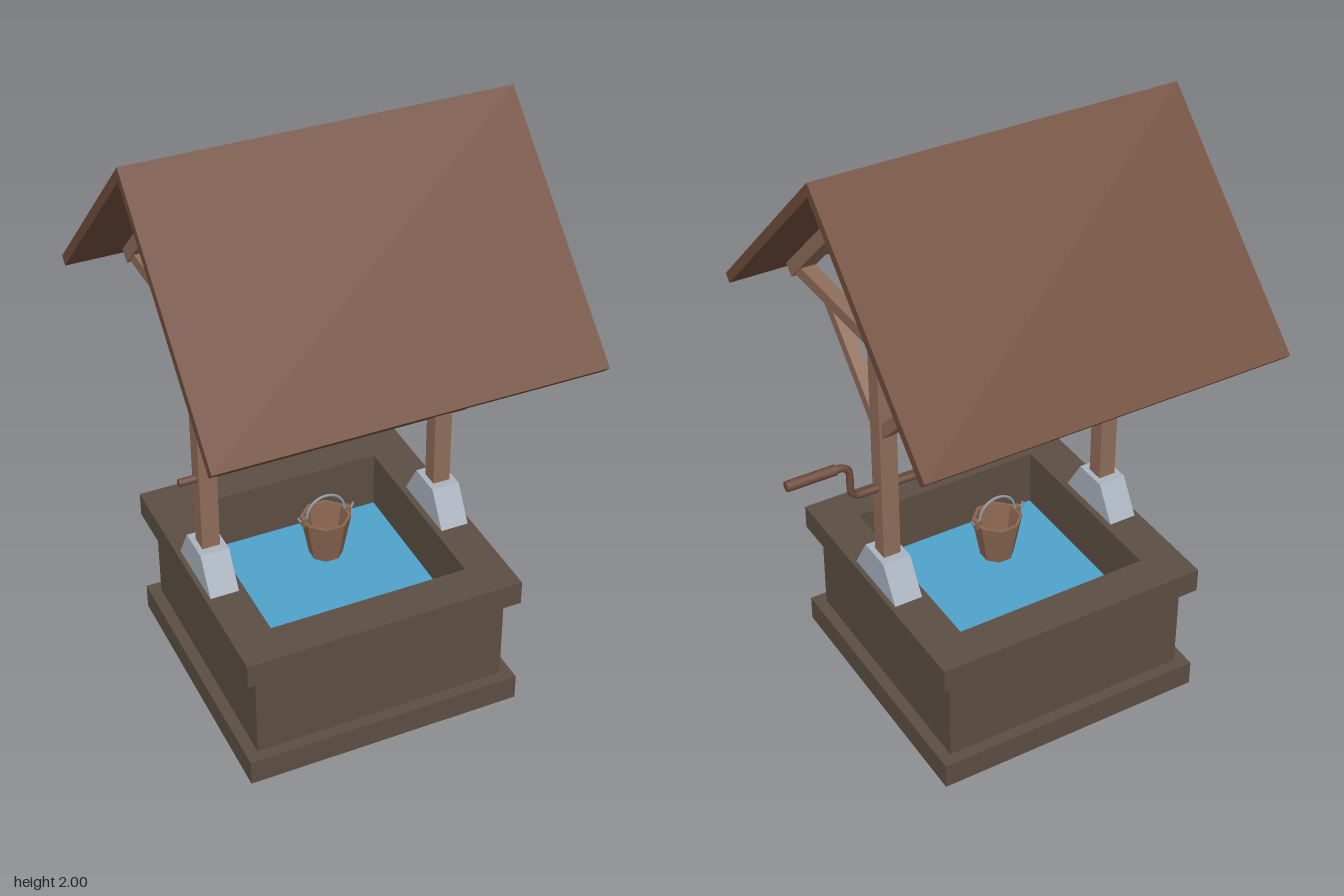
import * as THREE from 'three';

const mat = (name, color, side = THREE.FrontSide) => {
  const m = new THREE.MeshStandardMaterial({ color, side });
  m.name = name;
  return m;
};

export function createModel() {
  const root = new THREE.Group();
  root.name = 'waterWell';
  const wall = mat('dark stone', 0x5c4e43);
  const shingle = mat('roof brown', 0x704d3b);
  const timber = mat('timber', 0x8f6d5a);
  const bucketWood = mat('bucket wood', 0x8a6650, THREE.DoubleSide);
  const crankWood = mat('crank wood', 0x6f4c3c);
  const stone = mat('pale stone', 0xaab3bf);
  const metal = mat('metal', 0x9099a3);
  const waterBlue = mat('water blue', 0x4fa3cc);
  const CX = -0.065; // the well sits off centre because of the crank

  const add = (name, geo, material, parent = root) => {
    const m = new THREE.Mesh(geo, material);
    m.name = name;
    parent.add(m);
    return m;
  };
  const box = (w, h, d, x, y, z) => new THREE.BoxGeometry(w, h, d).translate(x, y, z);

  // Prism with a [z, y] outline, running along x and centred on cx
  const prism = (pts, cx, width) => {
    const s = new THREE.Shape(pts.map(([z, y]) => new THREE.Vector2(-z, y)));
    return new THREE.ExtrudeGeometry(s, { depth: width, bevelEnabled: false })
      .rotateY(Math.PI / 2).translate(cx - width / 2, 0, 0);
  };

  // Square ring with a square shaft through it
  const ring = (half, y0, y1, hole = 0.34) => {
    const square = (P, h) => {
      const p = new P();
      p.moveTo(-h, -h); p.lineTo(h, -h); p.lineTo(h, h); p.lineTo(-h, h); p.closePath();
      return p;
    };
    const s = square(THREE.Shape, half);
    s.holes.push(square(THREE.Path, hole));
    return new THREE.ExtrudeGeometry(s, { depth: y1 - y0, bevelEnabled: false })
      .rotateX(-Math.PI / 2).translate(CX, y0, 0);
  };

  // Well basin
  add('basePlinth', box(0.95, 0.09, 0.95, CX, 0.045, 0), wall);
  add('basinWall', ring(0.435, 0.09, 0.41), wall);
  add('basinRim', ring(0.475, 0.41, 0.495), wall);
  add('water', new THREE.PlaneGeometry(0.68, 0.68).rotateX(-Math.PI / 2).translate(CX, 0.29, 0), waterBlue);

  // Roof: two slopes meeting at the ridge
  add('roof', prism([[0, 2], [0.64, 1.378], [0.616, 1.354], [0, 1.954],
    [-0.616, 1.354], [-0.64, 1.378]], CX, 1.24), shingle);

  // Two identical end frames
  for (const side of [-1, 1]) {
    const x = CX + side * 0.41;
    const frame = new THREE.Group();
    frame.name = side > 0 ? 'leftFrame' : 'rightFrame';
    root.add(frame);
    add('foot', prism([[-0.133, 0.495], [0.133, 0.495], [0.06, 0.615], [-0.06, 0.615]], x, 0.097), stone);
    add('post', box(0.06, 1.27, 0.06, x, 1.225, 0), timber, frame);
    add('postCap', prism([[-0.022, 1.83], [0.022, 1.83], [0.038, 1.845], [0.038, 1.88],
      [0, 1.915], [-0.038, 1.88], [-0.038, 1.845]], x, 0.075), timber, frame);
    add('crossBeam', box(0.05, 0.042, 1.1, x, 1.4, 0), timber, frame);
    for (const s of [-1, 1]) {
      add('rafter', prism([[0, 1.953], [s * 0.575, 1.393], [s * 0.54, 1.361], [0, 1.89]], x, 0.06), timber, frame);
      add('brace', prism([[s * 0.33, 1.38], [s * 0.275, 1.38], [s * 0.02, 1.125], [s * 0.02, 1.07]], x, 0.044), timber, frame);
    }
  }
  // Grey underside strip on one rafter
  add('rafterStrip', prism([[0.03, 1.861], [0.54, 1.361], [0.538, 1.358], [0.028, 1.858]], CX - 0.41, 0.06), metal);

  // Crank: straight axle, double bend and a thicker grip
  const V = (x, y) => new THREE.Vector3(x, y, 0);
  const path = new THREE.CurvePath();
  path.add(new THREE.LineCurve3(V(-0.56, 0.875), V(0.425, 0.875)));
  path.add(new THREE.QuadraticBezierCurve3(V(0.425, 0.875), V(0.467, 0.875), V(0.467, 0.915)));
  path.add(new THREE.LineCurve3(V(0.467, 0.915), V(0.467, 0.958)));
  path.add(new THREE.QuadraticBezierCurve3(V(0.467, 0.958), V(0.467, 1), V(0.51, 1)));
  add('crankAxle', new THREE.TubeGeometry(path, 120, 0.0125, 8), crankWood);
  add('axleEnd', new THREE.CylinderGeometry(0.0125, 0.0125, 0.004, 8).rotateZ(Math.PI / 2).translate(-0.56, 0.875, 0), crankWood);
  add('crankGrip', new THREE.CylinderGeometry(0.0175, 0.0175, 0.17, 8).rotateZ(Math.PI / 2).translate(0.597, 1, 0), crankWood);

  // Hanging bucket: eight-sided open shell with inner lining
  const bucket = new THREE.Group();
  bucket.name = 'bucket';
  bucket.position.set(-0.063, 0.435, 0);
  root.add(bucket);
  const profile = [[0, 0], [0.056, 0], [0.084, 0.15], [0.074, 0.15], [0.05, 0.012], [0, 0.012]]
    .map(([r, y]) => new THREE.Vector2(r, y));
  const shell = new THREE.LatheGeometry(profile, 8, Math.PI / 8).toNonIndexed();
  shell.computeVertexNormals();
  add('bucketShell', shell, bucketWood, bucket);

  // Bail handle with a hooked ear at each end
  add('bucketHandle', new THREE.TorusGeometry(0.066, 0.005, 6, 20, Math.PI).translate(0, 0.164, 0), metal, bucket);
  for (const s of [-1, 1]) {
    const hook = new THREE.CatmullRomCurve3([V(s * 0.066, 0.166), V(s * 0.078, 0.15), V(s * 0.092, 0.157), V(s * 0.1, 0.176)]);
    add('handleHook', new THREE.TubeGeometry(hook, 8, 0.005, 6), metal, bucket);
    add('handleEar', box(0.014, 0.03, 0.022, s * 0.079, 0.15, 0), bucketWood, bucket);
  }
  return root;
}
